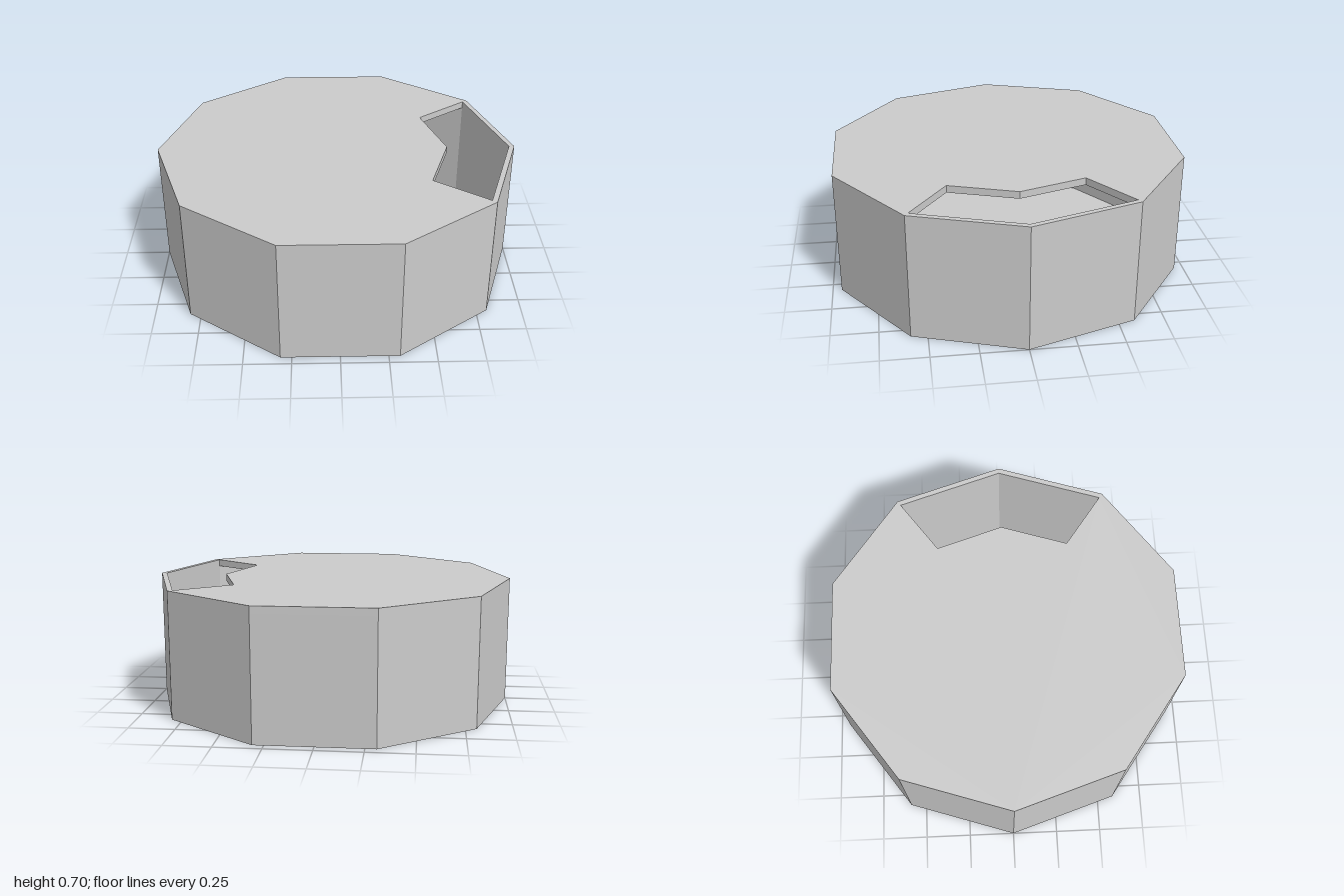
import * as THREE from 'three';

const SIDES = 10, STEP = (Math.PI * 2) / SIDES;
const HEIGHT = 0.7, LID = 0.04, FLOOR = 0.01;
const OUTER = 1, INNER = 0.97, SLOT = 0.62;

// Corner number i of a regular polygon with the given radius
const corner = (radius, i) =>
  new THREE.Vector2(radius * Math.cos(i * STEP), radius * Math.sin(i * STEP));

export function createModel() {
  const group = new THREE.Group();
  group.name = 'hollowDrum';
  const material = new THREE.MeshStandardMaterial({ color: 0xcccccc, flatShading: true });

  // Hollow ten-sided body: underside, outer wall, inner wall, floor
  const seam = HEIGHT - LID;
  const profile = [
    [0, 0], [OUTER, 0], [OUTER, seam], [INNER, seam], [INNER, FLOOR], [0, FLOOR],
  ].map(([r, y]) => new THREE.Vector2(r, y));
  const body = new THREE.Mesh(new THREE.LatheGeometry(profile, SIDES, Math.PI / 2), material);
  body.name = 'body';
  group.add(body);

  // Lid plate with an opening that follows two sides of the wall
  const plate = new THREE.Shape(Array.from({ length: SIDES }, (_, i) => corner(OUTER, i)));
  plate.holes.push(new THREE.Path([
    ...[-1, 0, 1].map((i) => corner(INNER, i)),
    ...[1, 0, -1].map((i) => corner(SLOT, i)),
  ]));
  const lidGeometry = new THREE.ExtrudeGeometry(plate, { depth: LID, bevelEnabled: false });
  lidGeometry.rotateX(-Math.PI / 2);
  const lid = new THREE.Mesh(lidGeometry, material);
  lid.name = 'lid';
  lid.position.y = seam;
  group.add(lid);

  return group;
}
